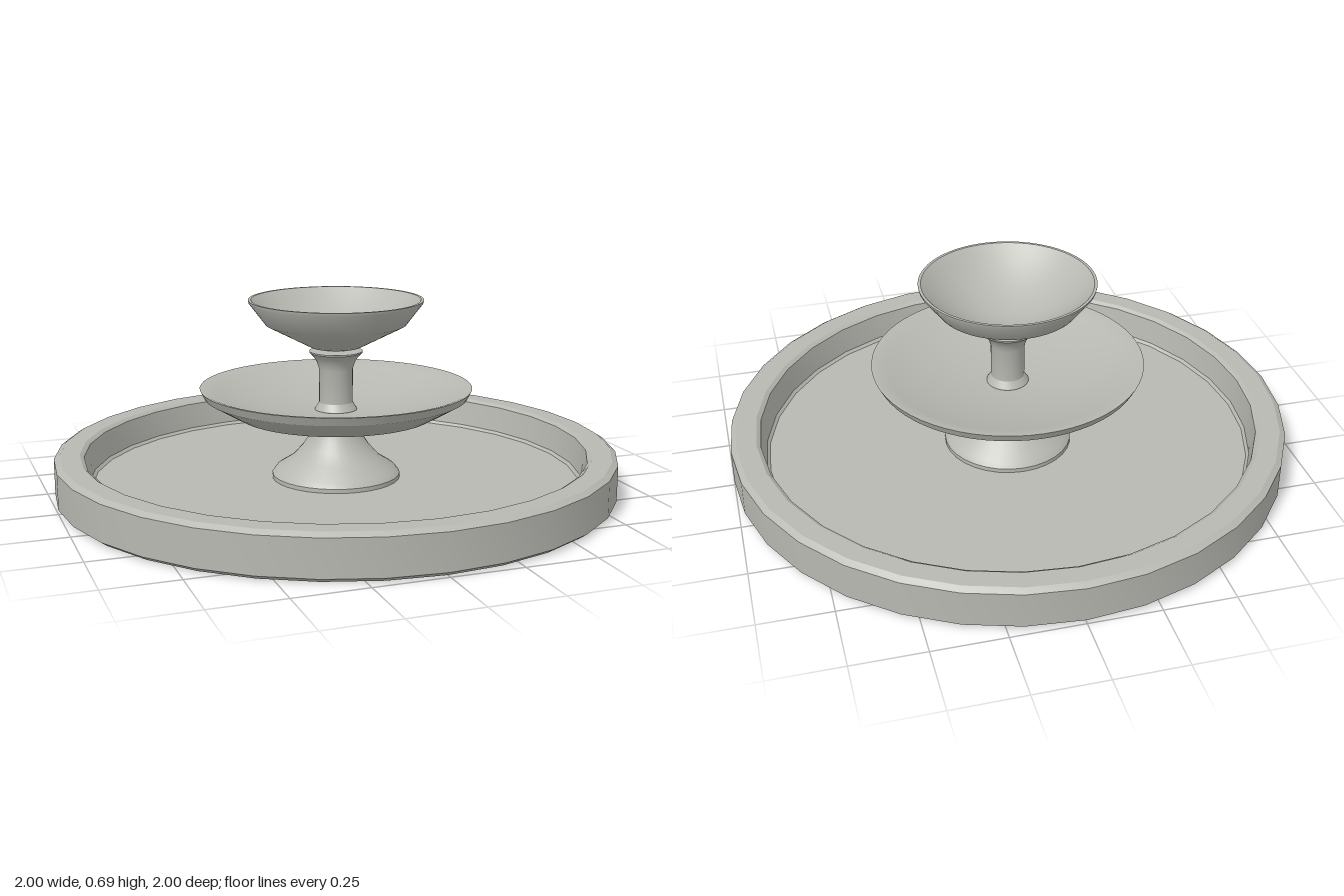
import * as THREE from 'three';
import { toCreasedNormals } from 'three/addons/utils/BufferGeometryUtils.js';

export function createModel() {
  const group = new THREE.Group();
  group.name = 'tieredFountain';
  const stone = new THREE.MeshStandardMaterial({ color: 0xb8b8b2 });
  stone.name = 'pale stone';

  // Turns a profile of [radius, height] pairs, listed from the underside outward and up
  const turn = (name, profile, sides) => {
    const lathe = new THREE.LatheGeometry(profile.map(([r, y]) => new THREE.Vector2(r, y)), sides);
    const mesh = new THREE.Mesh(toCreasedNormals(lathe, 0.5), stone);
    mesh.name = name;
    group.add(mesh);
  };

  // Inside of a dish: a shallow curve from rim to centre
  const hollow = (radius, rimY, floorY, power, steps = 10) =>
    Array.from({ length: steps + 1 }, (_, i) => {
      const t = 1 - i / steps;
      return [radius * t, floorY + (rimY - floorY) * t ** power];
    });

  // Wide pool with chamfered rim
  turn('basin', [
    [0, 0], [0.98, 0], [1, 0.015], [1, 0.142], [0.98, 0.155],
    [0.91, 0.155], [0.895, 0.145], [0.88, 0.05], [0.87, 0.04], [0, 0.04],
  ], 32);

  // Flared foot holding the lower dish
  turn('pedestal', [
    [0.23, 0.035], [0.23, 0.055], [0.215, 0.075], [0.16, 0.11], [0.12, 0.155],
    [0.1, 0.185], [0.085, 0.22], [0.075, 0.25],
  ], 32);

  // Lower dish
  turn('lowerDish', [
    [0, 0.24], [0.11, 0.24], [0.25, 0.257], [0.355, 0.275], [0.47, 0.342], [0.485, 0.372],
    ...hollow(0.475, 0.372, 0.285, 2),
  ], 64);

  // Slim stem between the dishes
  turn('stem', [
    [0.075, 0.275], [0.075, 0.29], [0.06, 0.315], [0.06, 0.435], [0.068, 0.46],
    [0.08, 0.48], [0.095, 0.495], [0.095, 0.5], [0, 0.508],
  ], 32);

  // Upper bowl
  turn('upperBowl', [
    [0, 0.505], [0.05, 0.505], [0.09, 0.515], [0.25, 0.598], [0.308, 0.675], [0.31, 0.685],
    ...hollow(0.3, 0.685, 0.54, 2),
  ], 64);

  return group;
}
